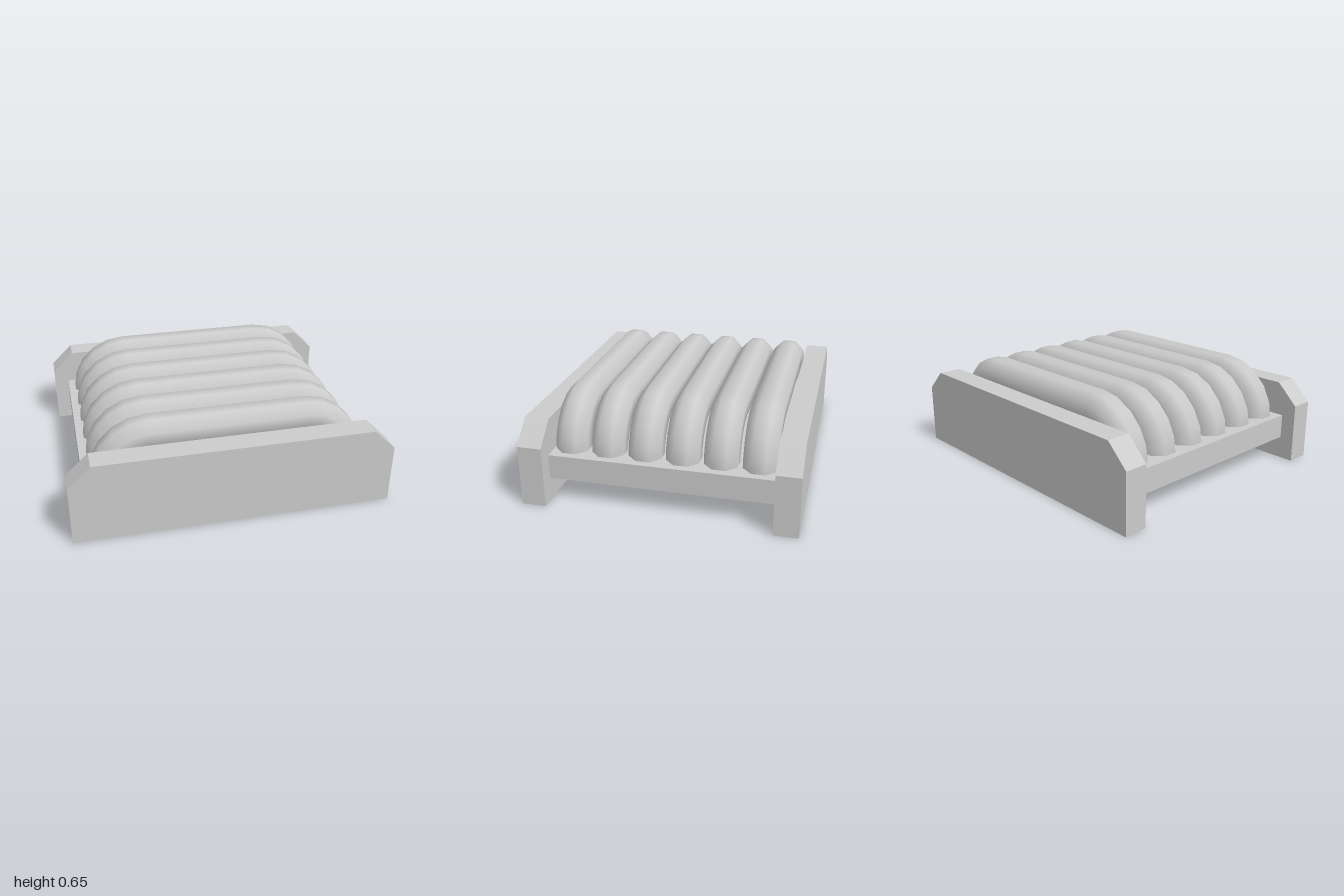
import * as THREE from 'three';

const material = new THREE.MeshStandardMaterial({ color: 0xcccccc });

// Arched octagonal bar: a cylinder whose rings follow straight-run-and-bend path
function archedBarGeometry() {
  const apothem = 0.102, bend = 0.268, runHalf = 0.49, baseY = 0.28, steps = 5;
  const rows = 2 * (steps + 1);
  const radius = apothem / Math.cos(Math.PI / 8);
  const geo = new THREE.CylinderGeometry(radius, radius, 1, 8, rows - 1, true, Math.PI / 8);
  const pos = geo.attributes.position, nor = geo.attributes.normal;
  for (let i = 0; i < pos.count; i++) {
    const row = Math.floor(i / 9);
    const left = row > steps;
    const angle = (left ? row - steps - 1 : row - steps) * (Math.PI / 2 / steps);
    const s = Math.sin(angle), c = Math.cos(angle);
    const r = bend + pos.getX(i);
    pos.setXY(i, (left ? runHalf : -runHalf) + r * s, baseY + r * c);
    const n = nor.getX(i);
    nor.setXY(i, n * s, n * c);
  }
  return geo;
}

// Side plate with both upper corners cut off
function sidePlateGeometry() {
  const shape = new THREE.Shape([
    [-1, 0], [1, 0], [1, 0.385], [0.86, 0.52], [-0.86, 0.52], [-1, 0.385],
  ].map(([x, y]) => new THREE.Vector2(x, y)));
  const geo = new THREE.ExtrudeGeometry(shape, { depth: 0.15, bevelEnabled: false });
  return geo.translate(0, 0, -0.075);
}

export function createModel() {
  const model = new THREE.Group();
  model.name = 'ribbedGrate';
  const add = (name, geo, x, y, z) => {
    const mesh = new THREE.Mesh(geo, material);
    mesh.name = name;
    mesh.position.set(x, y, z);
    model.add(mesh);
  };

  // Base slab between the plates
  add('baseSlab', new THREE.BoxGeometry(1.81, 0.155, 1.39), 0, 0.2225, 0);

  // Front and back plates
  const plate = sidePlateGeometry();
  add('frontPlate', plate, 0, 0, 0.767);
  add('backPlate', plate, 0, 0, -0.767);

  // Row of six bars, ends sunk into the slab
  const bar = archedBarGeometry();
  for (let i = 0; i < 6; i++) add(`archedBar${i + 1}`, bar, 0, 0, (2.5 - i) * 0.232);

  return model;
}
